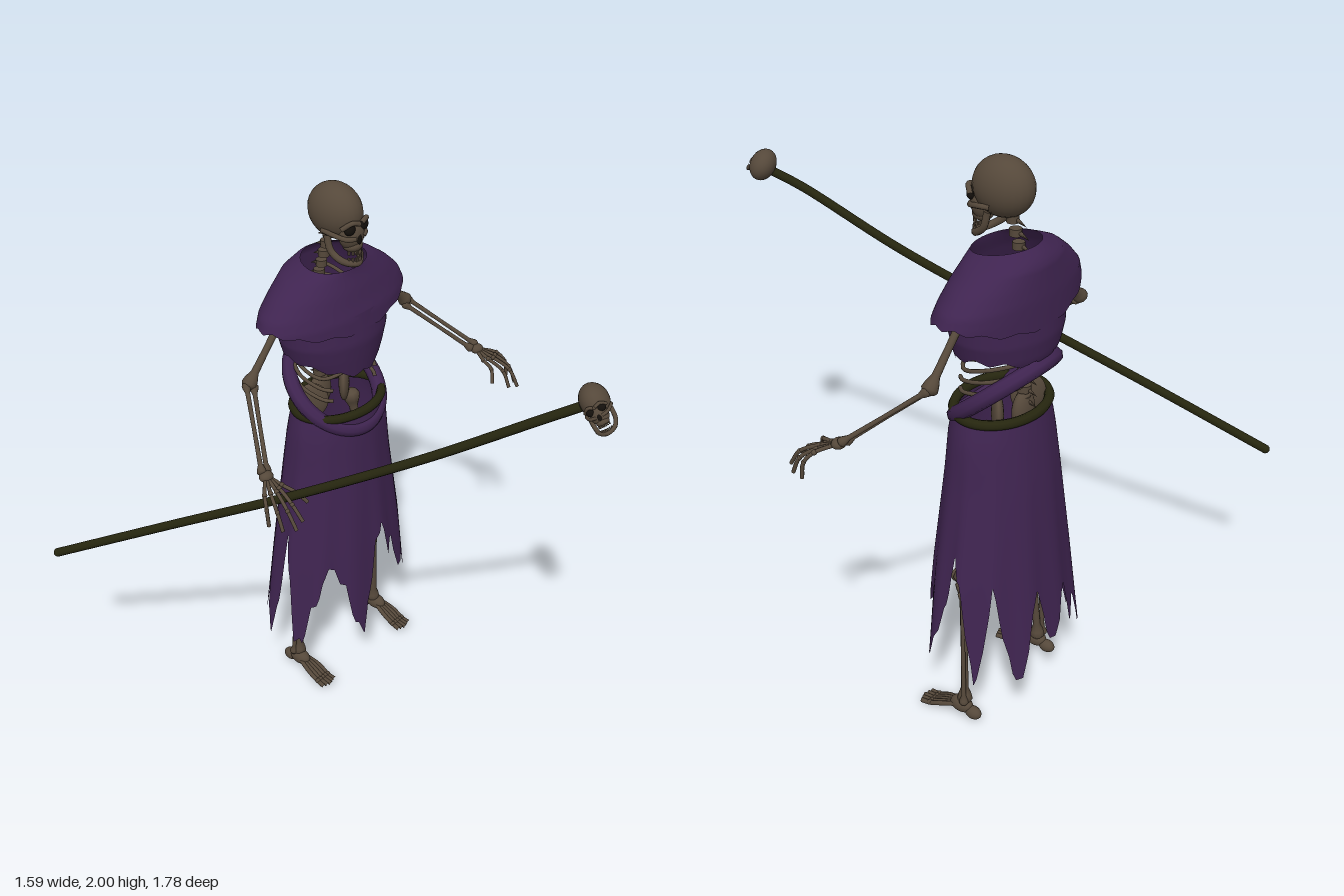
import * as THREE from 'three';

const V = (x, y, z) => new THREE.Vector3(x, y, z);
const mat = (name, color, side = THREE.FrontSide) => {
  const m = new THREE.MeshStandardMaterial({ color, side });
  m.name = name;
  return m;
};

export function createModel() {
  const bone = mat('old bone', 0x55483a);
  const cloth = mat('purple cloth', 0x3f2450, THREE.DoubleSide);
  const wood = mat('dark wood and leather', 0x26260f);
  const hollow = mat('hollow black', 0x14100c);

  const model = new THREE.Group();
  model.name = 'robedSkeleton';
  const body = new THREE.Group();
  body.name = 'body';
  body.position.x = 0.145;
  model.add(body);

  const add = (name, geo, m, parent = body) => {
    const mesh = new THREE.Mesh(geo, m);
    mesh.name = name;
    parent.add(mesh);
    return mesh;
  };
  const ball = (name, p, r, m, parent) => {
    const b = add(name, new THREE.SphereGeometry(1, 24, 16), m, parent);
    b.position.set(...p);
    b.scale.set(...r);
    return b;
  };
  const tube = (name, pts, r, m, parent, closed = false, seg = 24) =>
    add(name, new THREE.TubeGeometry(new THREE.CatmullRomCurve3(pts, closed), seg, r, 8, closed), m, parent);

  // Long bone with a slim shaft and knobbed ends
  const longBone = (name, a, b, r, parent) => {
    const len = a.distanceTo(b);
    const prof = [[0, -r], [1.1, -r * 0.6], [1.5, 0], [1.3, r], [0.75, r * 2.5], [0.65, len / 2],
      [0.75, len - r * 2.5], [1.3, len - r], [1.5, len], [1.1, len + r * 0.6], [0, len + r]]
      .map(([k, y]) => new THREE.Vector2(k * r, y));
    const m = add(name, new THREE.LatheGeometry(prof, 10), bone, parent);
    m.position.copy(a);
    m.quaternion.setFromUnitVectors(V(0, 1, 0), b.clone().sub(a).normalize());
    return m;
  };

  // Cloth shell: rows are [y, rx, rz, centreZ] from top to bottom; edges vary with the angle from the front
  const shell = (name, rows, top, hem, pleat = 0, cols = 144, steps = 16) => {
    const pos = [], idx = [];
    const at = (y) => {
      let k = 0;
      while (k < rows.length - 2 && y < rows[k + 1][0]) k++;
      const t = THREE.MathUtils.clamp((rows[k][0] - y) / (rows[k][0] - rows[k + 1][0]), 0, 1);
      return [1, 2, 3].map((n) => THREE.MathUtils.lerp(rows[k][n], rows[k + 1][n], t));
    };
    for (let j = 0; j <= steps; j++) for (let i = 0; i < cols; i++) {
      const a = (i / cols) * Math.PI * 2;
      const y = THREE.MathUtils.lerp(top(a), hem(a), j / steps);
      const [rx, rz, cz] = at(y);
      const w = 1 + pleat * (j / steps) * Math.sin(a * 12);
      pos.push(Math.sin(a) * rx * w, y, cz + Math.cos(a) * rz * w);
      if (j < steps) {
        const p = j * cols + i, q = j * cols + ((i + 1) % cols);
        idx.push(p, p + cols, q, q, p + cols, q + cols);
      }
    }
    const g = new THREE.BufferGeometry();
    g.setAttribute('position', new THREE.Float32BufferAttribute(pos, 3));
    g.setIndex(idx);
    g.computeVertexNormals();
    return add(name, g, cloth);
  };
  const jag = (a, n, amp) => amp * Math.abs(((a * n / Math.PI) % 2) - 1);
  const side2 = (a) => Math.sin(a) ** 2;

  // Shoulder cape, open under the sleeves
  shell('shoulderCape', [[1.75, 0.088, 0.088, -0.34], [1.73, 0.12, 0.11, -0.355], [1.70, 0.195, 0.125, -0.365],
    [1.65, 0.265, 0.137, -0.36], [1.60, 0.318, 0.147, -0.357], [1.56, 0.335, 0.155, -0.352], [1.48, 0.34, 0.162, -0.35]],
    (a) => 1.73 - 0.012 * Math.cos(a), (a) => 1.5 + 0.06 * side2(a) + jag(a, 14, 0.012));

  // Torn tunic below it
  shell('tunic', [[1.58, 0.225, 0.154, -0.352], [1.46, 0.218, 0.163, -0.35], [1.40, 0.2, 0.155, -0.35], [1.30, 0.15, 0.13, -0.34]],
    (a) => 1.57 - 0.055 * side2(a),
    (a) => 1.345 - 0.025 * Math.cos(a) + 0.05 * side2(a) + jag(a, 11, 0.02));

  // Skirt with a ragged hem, heights listed around from the front
  const hems = [0.58, 0.66, 0.5, 0.55, 0.36, 0.42, 0.5, 0.45, 0.24, 0.3, 0.4, 0.5, 0.68, 0.6, 0.42, 0.22,
    0.34, 0.6, 0.42, 0.25, 0.21, 0.4, 0.55, 0.35, 0.3, 0.42, 0.5, 0.3, 0.38, 0.25, 0.22, 0.4,
    0.58, 0.3, 0.2, 0.36, 0.66, 0.5, 0.22, 0.2, 0.36, 0.42, 0.56, 0.5, 0.44, 0.27, 0.21, 0.38];
  shell('skirt', [[1.18, 0.185, 0.14, -0.335], [1.1, 0.208, 0.152, -0.338], [0.95, 0.225, 0.168, -0.345],
    [0.6, 0.28, 0.2, -0.352], [0.2, 0.325, 0.235, -0.365]],
    () => 1.18, (a) => {
      const f = (a / (Math.PI * 2)) * 48, i = Math.floor(f) % 48;
      return THREE.MathUtils.lerp(hems[i], hems[(i + 1) % 48], f - Math.floor(f)) + jag(a, 36, 0.03);
    }, 0.02);

  // Belt and slanting sash
  const loop = (rx, rz, cz, y) => Array.from({ length: 24 }, (_, i) => {
    const a = (i / 24) * Math.PI * 2;
    return V(Math.sin(a) * rx, y(a), cz + Math.cos(a) * rz);
  });
  tube('belt', loop(0.182, 0.138, -0.335, () => 1.177), 0.017, wood, body, true, 64);
  tube('sash', loop(0.178, 0.145, -0.345, (a) => 1.235 - 0.125 * Math.cos(a)), 0.028, cloth, body, true, 64);

  // Spine
  for (let i = 0; i < 17; i++) {
    const y = 1.17 + i * 0.04, z = i < 11 ? -0.42 : -0.42 + (i - 11) * 0.012;
    const r = i < 11 ? 0.024 : 0.02;
    const v = add('vertebra', new THREE.CylinderGeometry(r, r, 0.024, 10), bone);
    v.position.set(0, y, z);
    const s = add('vertebraSpur', new THREE.ConeGeometry(0.01, 0.045, 6), bone);
    s.position.set(0, y - 0.008, z - 0.03);
    s.rotation.x = -Math.PI / 2 - 0.4;
  }
  // Breastbone and pelvis
  ball('breastbone', [0, 1.5, -0.225], [0.022, 0.1, 0.012], bone);
  ball('sacrum', [0, 1.17, -0.42], [0.05, 0.07, 0.03], bone);

  for (const s of [1, -1]) {
    // Ribs
    for (let i = 0; i < 9; i++) {
      const y = 1.29 + i * 0.042, w = 0.145 - Math.max(0, i - 5) * 0.015;
      const end = i < 2 ? V(s * 0.11, y - 0.05, -0.25) : V(s * 0.02, Math.max(y - 0.02, 1.34), -0.225);
      tube('rib', [V(s * 0.015, y, -0.42), V(s * 0.08, y + 0.01, -0.46), V(s * w, y - 0.015, -0.38),
        V(s * w * 0.92, y - 0.045, -0.28), end], 0.007, bone);
    }
    const hip = ball('hipBone', [s * 0.085, 1.18, -0.38], [0.06, 0.07, 0.02], bone);
    hip.rotation.y = s * 0.7;

    // Arm
    const arm = new THREE.Group();
    arm.name = s > 0 ? 'leftArm' : 'rightArm';
    body.add(arm);
    const elbow = V(s * 0.405, 1.4, -0.36), wrist = V(s * 0.555, 1.22, -0.15);
    longBone('collarbone', V(s * 0.03, 1.62, -0.26), V(s * 0.2, 1.62, -0.34), 0.01, arm);
    longBone('upperArm', V(s * 0.22, 1.6, -0.36), elbow, 0.018, arm);
    longBone('forearmOuter', elbow.clone().add(V(s * 0.012, 0, 0)), wrist.clone().add(V(s * 0.012, 0, 0)), 0.011, arm);
    longBone('forearmInner', elbow.clone().add(V(s * -0.012, -0.012, 0.01)), wrist.clone().add(V(s * -0.012, -0.008, 0)), 0.011, arm);
    ball('wristBones', [s * 0.562, 1.208, -0.135], [0.026, 0.018, 0.022], bone, arm);
    [[0.5, 1.13, -0.01], [0.56, 1.1, 0.025], [0.6, 1.09, 0.035], [0.628, 1.085, 0], [0.642, 1.09, -0.05]].forEach(([x, y, z], k) => {
      const knuckle = V(s * (0.54 + k * 0.02), 1.185, -0.07 - Math.abs(k - 2) * 0.008);
      const mid = knuckle.clone().lerp(V(s * x, y, z), 0.55).add(V(s * 0.008, 0.016, 0.008));
      tube('finger', [V(s * (0.555 + k * 0.004), 1.205, -0.13), knuckle, mid, V(s * x, y, z)], 0.0065, bone, arm, false, 12);
      ball('knuckle', knuckle.toArray(), [0.009, 0.009, 0.009], bone, arm);
      ball('fingerJoint', mid.toArray(), [0.008, 0.008, 0.008], bone, arm);
    });

    // Leg
    const leg = new THREE.Group();
    leg.name = s > 0 ? 'leftLeg' : 'rightLeg';
    body.add(leg);
    longBone('thigh', V(s * 0.1, 1.13, -0.36), V(s * 0.2, 0.58, -0.335), 0.022, leg);
    ball('kneecap', [s * 0.2, 0.58, -0.305], [0.018, 0.024, 0.012], bone, leg);
    longBone('shin', V(s * 0.198, 0.55, -0.335), V(s * 0.222, 0.085, -0.365), 0.018, leg);
    longBone('calfBone', V(s * 0.222, 0.53, -0.35), V(s * 0.242, 0.085, -0.375), 0.011, leg);
    ball('ankle', [s * 0.227, 0.06, -0.355], [0.028, 0.03, 0.045], bone, leg);
    ball('heel', [s * 0.227, 0.045, -0.405], [0.022, 0.024, 0.032], bone, leg);
    for (let k = -2; k <= 2; k++) {
      const x = s * 0.227 + k * 0.014;
      tube('toe', [V(s * 0.227 + k * 0.008, 0.06, -0.34), V(x, 0.038, -0.28), V(x, 0.016, -0.235),
        V(x + k * 0.001, 0.01, -0.19 - Math.abs(k) * 0.005)], 0.0085, bone, leg, false, 12);
      ball('toeJoint', [x, 0.018, -0.235], [0.01, 0.01, 0.01], bone, leg);
    }
  }

  // Skull, faces +z with its origin in the middle of the cranium
  const makeSkull = (name, parent) => {
    const k = new THREE.Group();
    k.name = name;
    parent.add(k);
    ball('cranium', [0, 0.005, 0], [0.078, 0.096, 0.105], bone, k);
    ball('face', [0, -0.06, 0.07], [0.05, 0.055, 0.04], bone, k);
    ball('upperJaw', [0, -0.098, 0.075], [0.036, 0.024, 0.034], bone, k);
    ball('noseHole', [0, -0.07, 0.107], [0.011, 0.018, 0.006], hollow, k);
    for (const s of [1, -1]) {
      ball('eyeSocket', [s * 0.032, -0.03, 0.093], [0.022, 0.02, 0.016], hollow, k);
      tube('browRidge', [V(s * 0.004, -0.012, 0.112), V(s * 0.034, -0.004, 0.106), V(s * 0.06, -0.025, 0.08)], 0.009, bone, k);
      tube('cheekbone', [V(s * 0.015, -0.065, 0.105), V(s * 0.045, -0.062, 0.092), V(s * 0.066, -0.05, 0.05), V(s * 0.068, -0.045, 0)], 0.009, bone, k);
    }
    tube('lowerJaw', [V(0.06, -0.06, 0.015), V(0.058, -0.115, 0.03), V(0.042, -0.148, 0.07), V(0, -0.16, 0.098),
      V(-0.042, -0.148, 0.07), V(-0.058, -0.115, 0.03), V(-0.06, -0.06, 0.015)], 0.012, bone, k);
    for (let i = -3; i <= 3; i++) for (const [y, z] of [[-0.118, 0.102], [-0.143, 0.102]]) {
      const t = add('tooth', new THREE.BoxGeometry(0.007, 0.014, 0.007), bone, k);
      t.position.set(i * 0.0095, y, z - i * i * 0.002);
    }
    return k;
  };
  makeSkull('head', body).position.set(0, 1.9, -0.325);

  // Staff held in the right hand, topped with a small skull
  const path = [V(-0.78, 0.735, -0.86), V(-0.59, 0.957, -0.44), V(-0.4, 1.17, -0.03),
    V(-0.2, 1.395, 0.37), V(-0.05, 1.6, 0.69), V(0.01, 1.66, 0.79)];
  tube('staff', path, 0.016, wood, model, false, 48);
  for (const [n, p] of [['staffButt', path[0]], ['staffTip', path[5]]]) ball(n, p.toArray(), [0.016, 0.016, 0.016], wood, model);
  const top = makeSkull('staffSkull', model);
  top.position.set(0.022, 1.676, 0.812);
  top.scale.setScalar(0.58);
  top.rotation.set(-0.7, -1.0, 0);
  return model;
}
